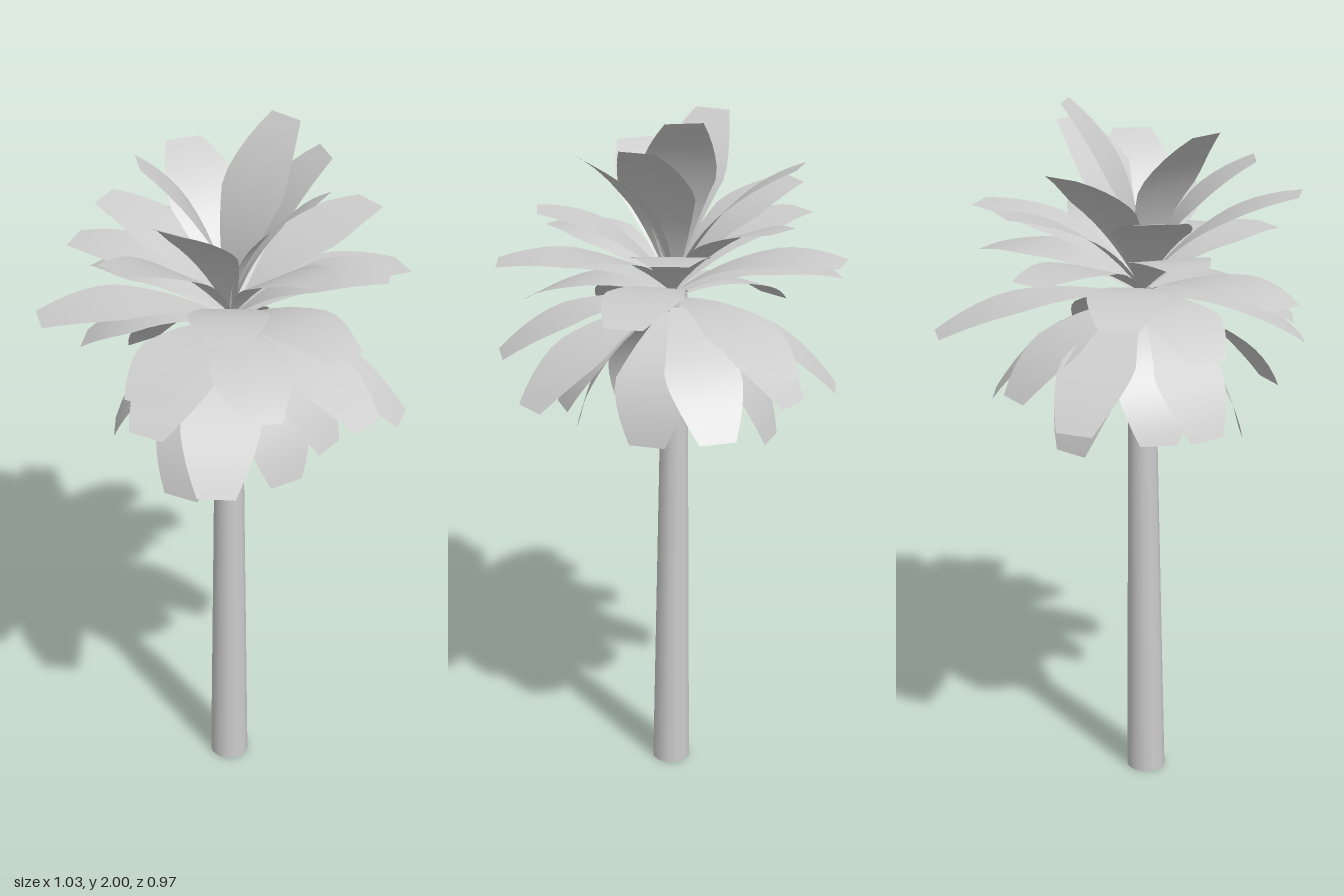
import * as THREE from 'three';

const grey = new THREE.MeshStandardMaterial({ color: 0xcccccc, side: THREE.DoubleSide });
grey.name = 'pale grey';

const CROWN = new THREE.Vector3(-0.057, 0, -0.005);

// Frond tips as x, y, z, from upright to hanging
const UPRIGHT = [
  [0.155, 2, 0.025], [-0.235, 1.95, -0.175], [0.155, 1.93, 0.155], [-0.015, 1.88, 0.26],
  [0.14, 1.86, -0.31], [-0.365, 1.85, 0.02], [-0.49, 1.77, -0.06], [-0.125, 1.76, -0.385],
  [0.31, 1.73, -0.2], [-0.14, 1.72, 0.36],
];
const SPREADING = [
  [0.41, 1.69, 0.14], [0.13, 1.64, 0.385], [-0.2, 1.65, -0.435], [-0.41, 1.61, 0.24],
  [0.22, 1.6, -0.41], [-0.2, 1.56, 0.465], [-0.455, 1.53, -0.35], [-0.02, 1.5, -0.485],
  [-0.38, 1.4, 0.33], [0.5, 1.38, -0.145], [0.4, 1.53, 0.26], [-0.25, 1.38, -0.37],
  [-0.48, 1.4, 0.01],
];
const HANGING = [
  [-0.51, 1.33, 0.05], [-0.11, 1.32, 0.48], [0.28, 1.23, -0.25], [0.11, 1.23, 0.45],
  [0.1, 1.2, -0.44], [0.36, 1.17, -0.01], [-0.05, 1.17, 0.32], [-0.42, 1.15, 0.21],
  [-0.25, 1.13, -0.27], [-0.15, 1.08, 0.25], [0.15, 1.1, 0.13], [0.125, 1.075, -0.24],
  [-0.34, 1.05, 0.03], [-0.12, 1.12, -0.29],
];

// Half width along the blade: straight wedge from the stalk, then a curved taper to a blunt tip
const WIDEST = 0.6;
const halfWidth = (t) => (t < WIDEST
  ? 0.006 + 0.104 * Math.pow(t / WIDEST, 0.95)
  : 0.11 - 0.058 * Math.pow((t - WIDEST) / (1 - WIDEST), 1.6));

// Arched blade swept from the crown to its tip
function frond(tipPoint) {
  const tip = new THREE.Vector3(...tipPoint);
  const base = CROWN.clone().setY(1.44 + (tip.y - 1.05) * 0.06);
  const chord = tip.clone().sub(base);
  const side = new THREE.Vector3(chord.z, 0, -chord.x).normalize();
  const bulge = chord.clone().cross(side).normalize();
  const middle = base.clone().lerp(tip, 0.5).addScaledVector(bulge, 0.11);
  const spine = new THREE.QuadraticBezierCurve3(base, middle, tip);

  const steps = 12;
  const positions = [];
  const index = [];
  for (let i = 0; i <= steps; i++) {
    const t = i / steps;
    const p = spine.getPoint(t);
    for (const s of [-1, 1]) {
      const v = p.clone().addScaledVector(side, s * halfWidth(t));
      positions.push(v.x, v.y, v.z);
    }
    if (i < steps) {
      const a = i * 2;
      index.push(a, a + 2, a + 1, a + 1, a + 2, a + 3);
    }
  }
  const geometry = new THREE.BufferGeometry();
  geometry.setAttribute('position', new THREE.Float32BufferAttribute(positions, 3));
  geometry.setIndex(index);
  geometry.computeVertexNormals();
  return new THREE.Mesh(geometry, grey);
}

function tier(name, tips) {
  const group = new THREE.Group();
  group.name = name;
  for (const tip of tips) {
    const blade = frond(tip);
    blade.name = 'frond';
    group.add(blade);
  }
  return group;
}

// Open tapered trunk leaning slightly towards the crown centre
function trunk() {
  const height = 1.48;
  const geometry = new THREE.CylinderGeometry(0.036, 0.056, height, 12, 4, true);
  geometry.translate(0, height / 2, 0);
  const p = geometry.attributes.position;
  for (let i = 0; i < p.count; i++) {
    const t = p.getY(i) / height;
    p.setX(i, p.getX(i) - 0.075 + 0.018 * t);
    p.setZ(i, p.getZ(i) - 0.004 - 0.008 * t);
  }
  geometry.computeBoundingSphere();
  const mesh = new THREE.Mesh(geometry, grey);
  mesh.name = 'trunk';
  return mesh;
}

export function createModel() {
  const model = new THREE.Group();
  model.name = 'palmTree';
  model.add(
    trunk(),
    tier('uprightFronds', UPRIGHT),
    tier('spreadingFronds', SPREADING),
    tier('hangingFronds', HANGING),
  );
  return model;
}
